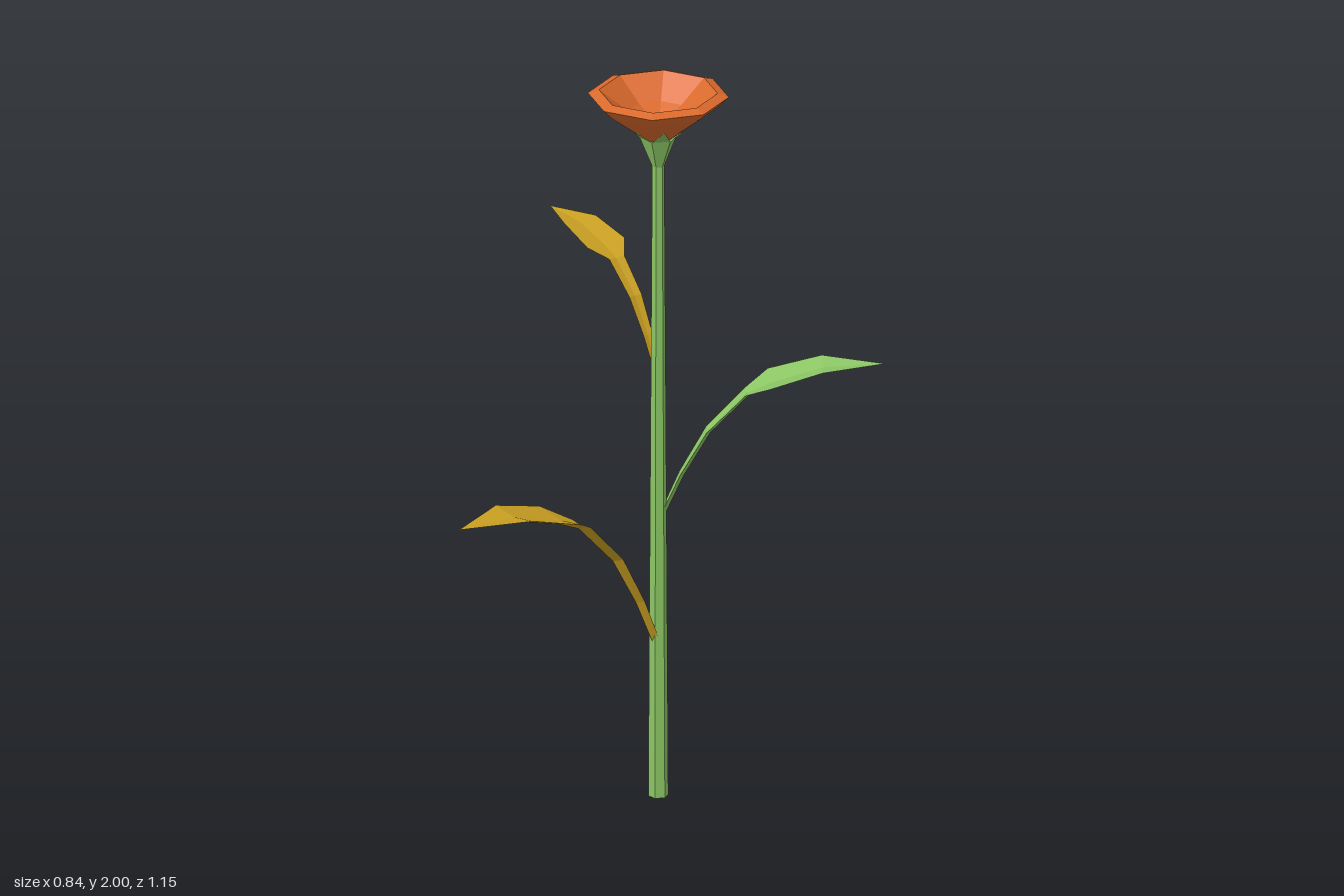
import * as THREE from 'three';

const flat = (name, color, side = THREE.FrontSide) => {
  const m = new THREE.MeshStandardMaterial({ color, flatShading: true, side });
  m.name = name;
  return m;
};

// Leaf sections: distance from the stem axis, height, half width
const LEAF = [
  [0.012, 0, 0.016], [0.07, 0.13, 0.022], [0.15, 0.27, 0.03], [0.268, 0.393, 0.037],
  [0.336, 0.432, 0.092], [0.498, 0.479, 0.077], [0.686, 0.485, 0.001],
];

// Closed blade with a shallow valley on top and a keel underneath
function leafGeometry() {
  const pos = [], index = [];
  LEAF.forEach(([d, y, w], i) => {
    const p = LEAF[Math.max(i - 1, 0)], q = LEAF[Math.min(i + 1, LEAF.length - 1)];
    const len = Math.hypot(q[0] - p[0], q[1] - p[1]);
    const nz = -(q[1] - p[1]) / len, ny = (q[0] - p[0]) / len;
    const tip = i === LEAF.length - 1;
    const valley = 0.14 * w, keel = tip ? 0.001 : 0.011;
    const put = (x, h) => pos.push(x, y + ny * h, d + nz * h);
    const edge = tip ? 0 : 0.006;
    put(-w, edge);
    put(0, edge - valley);
    put(w, edge);
    put(0, edge - valley - keel);
  });
  const n = LEAF.length;
  for (let i = 0; i < n - 1; i++) {
    for (let j = 0; j < 4; j++) {
      const a = i * 4 + j, b = i * 4 + (j + 1) % 4;
      index.push(a, a + 4, b, b, a + 4, b + 4);
    }
  }
  const e = (n - 1) * 4;
  index.push(0, 1, 3, 1, 2, 3, e, e + 3, e + 1, e + 1, e + 3, e + 2);
  const g = new THREE.BufferGeometry();
  g.setAttribute('position', new THREE.Float32BufferAttribute(pos, 3));
  g.setIndex(index);
  g.computeVertexNormals();
  return g;
}

// Six-sided flaring cup ending in pointed sepals
function calyxGeometry() {
  const pos = [], index = [];
  for (let i = 0; i < 6; i++) {
    const a = Math.PI / 2 + i * Math.PI / 3, m = a + Math.PI / 6;
    const put = (r, y, t) => pos.push(r * Math.sin(t), y, r * Math.cos(t));
    put(0.017, 1.79, a);
    put(0.05, 1.872, a);
    put(0.096, 1.918, m);
    const k = i * 3, l = ((i + 1) % 6) * 3;
    index.push(k, l, k + 1, l, l + 1, k + 1, k + 1, l + 1, k + 2);
  }
  const g = new THREE.BufferGeometry();
  g.setAttribute('position', new THREE.Float32BufferAttribute(pos, 3));
  g.setIndex(index);
  g.computeVertexNormals();
  return g;
}

export function createModel() {
  const green = flat('leaf green', 0x8cc665);
  const sepalGreen = flat('sepal green', 0x8cc665, THREE.DoubleSide);
  const yellow = flat('withered yellow', 0xcba122);
  const orange = flat('petal orange', 0xdb6a2c);

  const plant = new THREE.Group();
  plant.name = 'flower';
  const add = (name, geometry, material) => {
    const mesh = new THREE.Mesh(geometry, material);
    mesh.name = name;
    plant.add(mesh);
    return mesh;
  };

  // Tapered hexagonal stem
  const stem = new THREE.CylinderGeometry(0.016, 0.027, 1.85, 6, 1, false, Math.PI / 2);
  add('stem', stem.translate(0, 0.925, 0), green);
  add('calyx', calyxGeometry(), sepalGreen);

  // Eight-sided bloom: outer wall, sloping rim, hollow bowl
  const profile = [
    [0, 1.86], [0.038, 1.868], [0.077, 1.9], [0.157, 1.96], [0.188, 1.99],
    [0.158, 2], [0.08, 1.942], [0, 1.9],
  ].map(([r, y]) => new THREE.Vector2(r, y));
  add('bloom', new THREE.LatheGeometry(profile, 8), orange);

  // Three leaves of one shape: height, scale, heading
  const leaf = leafGeometry();
  [
    ['frontLeaf', 0.44, 1, 0, yellow],
    ['backLeaf', 0.798, 0.874, Math.atan2(0.376, -0.467), green],
    ['rightLeaf', 1.205, 0.677, Math.atan2(-0.466, -0.016), yellow],
  ].forEach(([name, y, s, heading, material]) => {
    const mesh = add(name, leaf, material);
    mesh.position.y = y;
    mesh.scale.setScalar(s);
    mesh.rotation.y = heading;
  });

  // Stem stands off centre so the whole plant is centred
  plant.children.forEach((c) => { c.position.x += 0.044; c.position.z -= 0.108; });
  const model = new THREE.Group();
  model.name = 'plant';
  model.add(plant);
  return model;
}
